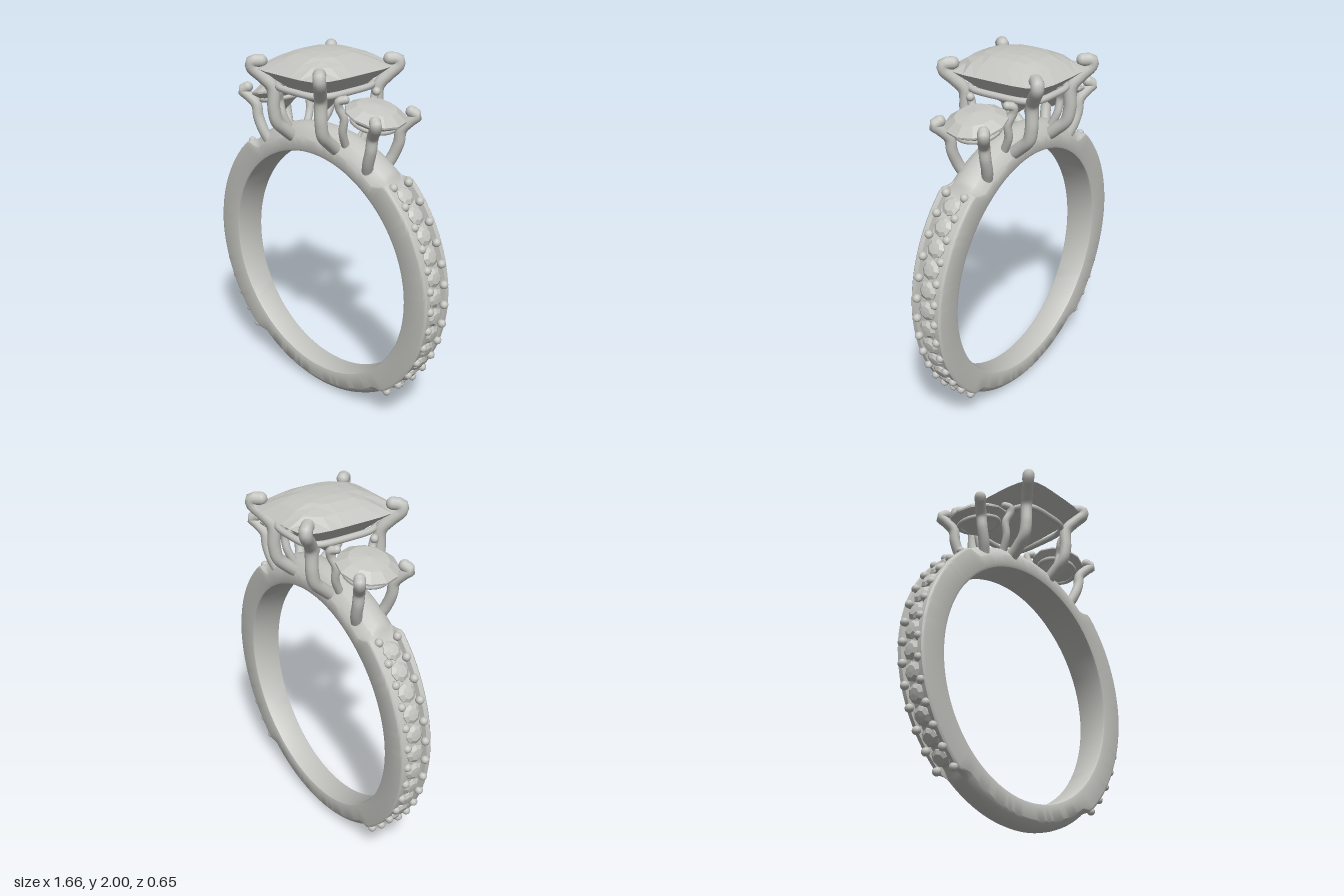
import * as THREE from 'three';
import { toCreasedNormals, mergeGeometries } from 'three/addons/utils/BufferGeometryUtils.js';

const CY = 0.795; // height of the ring's centre

// give every triangle its own normal
function faceted(geo) {
  const g = geo.index ? geo.toNonIndexed() : geo;
  g.computeVertexNormals();
  return g;
}

// band swept round the finger: channelled on the flanks, domed at bridge and base
function bandGeometry() {
  const us = [-1, -0.97, -0.9, -0.8, -0.64, -0.58, -0.28, 0, 0.28, 0.58, 0.64, 0.8, 0.9, 0.97, 1];
  const inner = [[1, 0.018], [0.95, 0.004], [0.85, 0], [-0.85, 0], [-0.95, 0.004], [-1, 0.018]];
  const N = 180, M = us.length + inner.length, pos = [], idx = [];
  for (let i = 0; i < N; i++) {
    const t = (i / N) * Math.PI * 2, s = Math.sin(t);
    const phi = THREE.MathUtils.radToDeg(Math.asin(s));
    const plain = THREE.MathUtils.smoothstep(Math.abs(phi), 49, 54);
    const w = 0.075 + 0.035 * Math.min(1, (CY + 0.8 * s) / 1.45);
    const outerR = 0.8 + 0.01 * (1 - Math.abs(s)) + (s > 0 ? 0.005 * s : -0.005 * -s);
    const drop = s > 0 ? 0.075 : 0.05;
    const put = (r, u) => pos.push(r * Math.cos(t), CY + r * s, u * w);
    us.forEach(u => {
      const a = Math.abs(u);
      const pave = (a < 0.6 ? 0.03 : 0) + (a > 0.95 ? (a - 0.95) * 0.3 : 0);
      put(outerR - THREE.MathUtils.lerp(pave, drop * a ** 2.6, plain), u);
    });
    inner.forEach(([u, d]) => put(0.657 + d, u));
    for (let j = 0; j < M; j++) {
      const i2 = (i + 1) % N, j2 = (j + 1) % M;
      const a = i * M + j, b = i2 * M + j, c = i * M + j2, d = i2 * M + j2;
      idx.push(a, b, c, b, d, c);
    }
  }
  const g = new THREE.BufferGeometry();
  g.setAttribute('position', new THREE.Float32BufferAttribute(pos, 3));
  g.setIndex(idx);
  return toCreasedNormals(g, 0.6);
}

// square grid pulled into a cushion outline, raised by height(u, v)
function cushionSheet(up, height) {
  const g = new THREE.PlaneGeometry(2, 2, 8, 8).rotateX(up ? -Math.PI / 2 : Math.PI / 2);
  const p = g.attributes.position;
  for (let i = 0; i < p.count; i++) {
    const u = p.getX(i), v = p.getZ(i), au = Math.abs(u), av = Math.abs(v);
    const m = Math.max(au, av);
    const k = m < 1e-6 ? 0 : m / (au ** 5 + av ** 5) ** 0.2;
    p.setXYZ(i, u * k * 0.265, height(au, av, m), v * k * 0.31);
  }
  return faceted(g);
}

// round cut stone with its girdle at the origin
function roundStone(profile, sides) {
  return faceted(new THREE.LatheGeometry(profile.map(p => new THREE.Vector2(...p)), sides));
}

// bent wire with ball ends; signs mirror the path
function wire(points, r, sx, sz) {
  const v = points.map(([x, y, z]) => new THREE.Vector3(x * sx, y, z * sz));
  const parts = [new THREE.TubeGeometry(new THREE.CatmullRomCurve3(v, false, 'centripetal'), 36, r, 12)];
  [v[0], v[v.length - 1]].forEach(e =>
    parts.push(new THREE.SphereGeometry(r, 14, 10).translate(e.x, e.y, e.z)));
  return mergeGeometries(parts);
}

export function createModel() {
  const ring = new THREE.Group();
  ring.name = 'ring';
  const silver = new THREE.MeshStandardMaterial({ color: 0xc4c4c0 });
  silver.name = 'silver grey';
  const add = (name, geo, parent = ring) => {
    const m = new THREE.Mesh(geo, silver);
    m.name = name;
    parent.add(m);
    return m;
  };

  add('band', bandGeometry());

  // centre stone: domed chequered crown over a pointed pavilion
  add('centreStoneCrown', cushionSheet(true, (u, v) => 1.91 + 0.09 * (1 - u ** 3) * (1 - v ** 3)));
  add('centreStonePavilion', cushionSheet(false, (u, v, m) => 1.91 - 0.245 * (1 - m)));

  // cushion-shaped rail under the centre stone
  const railPoints = [];
  for (let i = 0; i < 32; i++) {
    const t = (i / 32) * Math.PI * 2, c = Math.cos(t), s = Math.sin(t);
    const k = 1 / (Math.abs(c) ** 4 + Math.abs(s) ** 4) ** 0.25;
    railPoints.push(new THREE.Vector3(0.19 * c * k, 1.81, 0.225 * s * k));
  }
  add('centreRail', new THREE.TubeGeometry(new THREE.CatmullRomCurve3(railPoints, true), 96, 0.018, 10, true));

  const centreProng = [[0.165, 1.5, 0.07], [0.168, 1.55, 0.13], [0.174, 1.61, 0.19], [0.177, 1.68, 0.207],
    [0.18, 1.8, 0.212], [0.215, 1.86, 0.25], [0.25, 1.91, 0.288], [0.248, 1.937, 0.288], [0.215, 1.942, 0.255]];
  const outerProng = [[0.375, 1.44, 0.075], [0.4, 1.5, 0.095], [0.425, 1.57, 0.105], [0.437, 1.64, 0.108],
    [0.475, 1.69, 0.135], [0.498, 1.715, 0.152], [0.475, 1.735, 0.135]];
  const innerProng = [[0.21, 1.53, 0.06], [0.225, 1.62, 0.1], [0.24, 1.7, 0.108], [0.225, 1.76, 0.13],
    [0.23, 1.79, 0.135], [0.255, 1.8, 0.115]];

  const sideStone = roundStone([[0, -0.12], [0.16, 0], [0.16, 0.01], [0.105, 0.045], [0, 0.06]], 12);
  const paveStone = roundStone([[0, -0.03], [0.052, 0], [0.052, 0.006], [0.032, 0.02], [0, 0.022]], 8);
  const bead = new THREE.SphereGeometry(0.023, 12, 8);

  for (const sx of [1, -1]) {
    const side = sx > 0 ? 'left' : 'right';
    for (const sz of [1, -1]) {
      add(side + 'CentreProng', wire(centreProng, 0.034, sx, sz));
      add(side + 'OuterProng', wire(outerProng, 0.03, sx, sz));
      add(side + 'InnerProng', wire(innerProng, 0.022, sx, sz));
    }

    // tilted side stone and its rail
    const head = new THREE.Group();
    head.name = side + 'SideSetting';
    head.position.set(0.355 * sx, 1.72, 0);
    head.rotation.z = -0.24 * sx;
    ring.add(head);
    add(side + 'SideStone', sideStone, head);
    add(side + 'SideRail', new THREE.TorusGeometry(0.112, 0.014, 10, 40).rotateX(Math.PI / 2).translate(0, -0.04, 0), head);

    // row of small stones with beads between them
    for (let i = 0; i < 13; i++) {
      const place = (mesh, deg, r, z) => {
        const a = THREE.MathUtils.degToRad(deg);
        mesh.position.set(sx * r * Math.cos(a), CY + r * Math.sin(a), z);
        mesh.rotation.z = sx * (a - Math.PI / 2);
      };
      const deg = -48 + i * 8;
      for (const z of [-0.058, 0.058]) place(add(side + 'Bead', bead), deg, 0.805, z);
      if (i < 12) place(add(side + 'SmallStone', paveStone), deg + 4, 0.79, 0);
    }
  }
  return ring;
}
